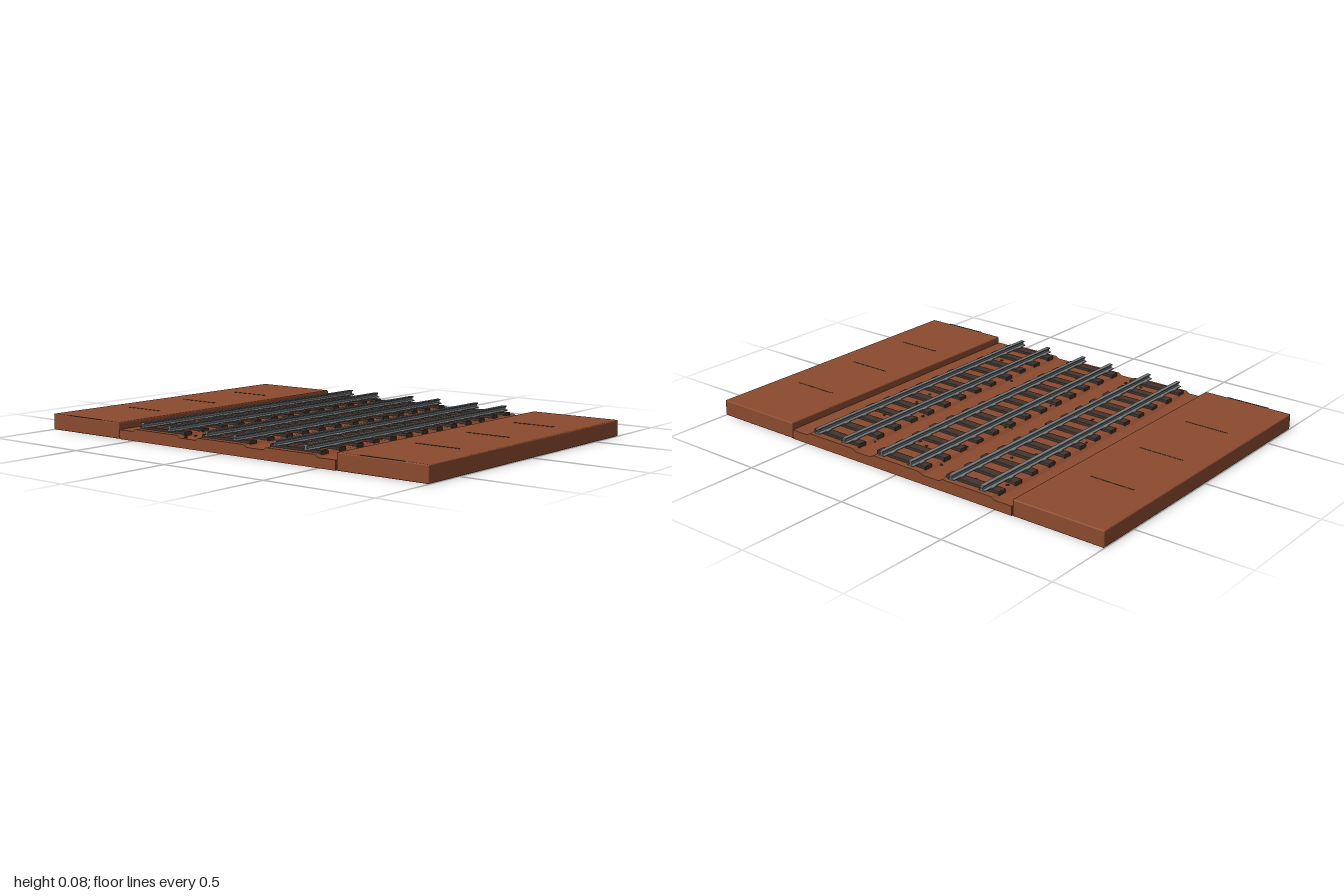
import * as THREE from 'three';
import { RoundedBoxGeometry } from 'three/addons/geometries/RoundedBoxGeometry.js';

const mat = (name, color) => {
  const m = new THREE.MeshStandardMaterial({ color });
  m.name = name;
  return m;
};

export function createModel() {
  const earth = mat('red brown ground', 0x8a4a2e);
  const timber = mat('dark timber', 0x43342e);
  const steel = mat('rail steel', 0x73787a);
  const stone = mat('dark gravel', 0x54301f);
  stone.flatShading = true;
  const seam = mat('seam', 0x4a3a35);

  const model = new THREE.Group();
  model.name = 'railwayTracks';
  const add = (parent, name, geometry, material, x = 0, y = 0, z = 0) => {
    const mesh = new THREE.Mesh(geometry, material);
    mesh.name = name;
    mesh.position.set(x, y, z);
    parent.add(mesh);
    return mesh;
  };

  let seed = 7;
  const rand = () => (seed = (seed * 16807) % 2147483647) / 2147483647;

  const length = 1.384;
  // Extrudes a cross-section in x and y along the whole length
  const along = (points) => {
    const shape = new THREE.Shape(points.map(([x, y]) => new THREE.Vector2(x, y)));
    return new THREE.ExtrudeGeometry(shape, { depth: length, bevelEnabled: false })
      .translate(0, 0, -length / 2);
  };

  // Ground between the platforms
  add(model, 'trackGround', new THREE.BoxGeometry(1.164, 0.04, length), earth, 0, 0.02, 0);

  // Raised platforms with cross seams
  const platformGeo = new RoundedBoxGeometry(0.415, 0.07, length, 2, 0.005);
  const seamGeo = new THREE.BoxGeometry(0.2, 0.002, 0.004);
  for (const side of [-1, 1]) {
    add(model, side > 0 ? 'leftPlatform' : 'rightPlatform', platformGeo, earth, side * 0.7925, 0.035, 0);
    for (const z of [-0.345, 0, 0.345, 0.69])
      add(model, 'platformSeam', seamGeo, seam, side * 0.795, 0.0702, z);
  }

  // Sloped bed, and a rail with foot, web and head
  const bedGeo = along([[-0.14, 0.039], [0.14, 0.039], [0.122, 0.05], [-0.122, 0.05]]);
  const half = [[0.016, 0], [0.016, 0.003], [0.004, 0.006], [0.004, 0.015], [0.009, 0.017], [0.009, 0.022]];
  const railGeo = along([...half, ...half.map(([x, y]) => [-x, y]).reverse()]);
  const sleeperGeo = new RoundedBoxGeometry(0.26, 0.018, 0.042, 1, 0.003);
  const chairGeo = new THREE.BoxGeometry(0.042, 0.004, 0.026);
  const stoneGeo = new THREE.IcosahedronGeometry(0.007, 0);

  for (const cx of [-0.362, 0, 0.36]) {
    const track = new THREE.Group();
    track.name = 'track';
    track.position.x = cx;
    model.add(track);
    add(track, 'ballastBed', bedGeo, earth);

    // Sleepers, slightly uneven, with a steel chair under each rail
    for (let i = 0; i < 13; i++) {
      const z = (i - 6) * 0.1067;
      const sleeper = add(track, 'sleeper', sleeperGeo, timber, (rand() - 0.5) * 0.008, 0.052, z);
      sleeper.rotation.y = (rand() - 0.5) * 0.03;
      for (const x of [-0.077, 0.077]) add(track, 'railChair', chairGeo, steel, x, 0.062, z);
    }
    for (const x of [-0.077, 0.077]) add(track, 'rail', railGeo, steel, x, 0.061, 0);

    // Loose stones on and beside the bed
    for (let i = 0; i < 34; i++) {
      const x = (rand() - 0.5) * 0.31;
      const y = Math.abs(x) < 0.125 ? 0.051 : 0.042;
      const pebble = add(track, 'stone', stoneGeo, stone, x, y, (rand() - 0.5) * 1.36);
      pebble.scale.set(0.6 + rand() * 0.6, 0.6, 0.6 + rand() * 0.6);
      pebble.rotation.y = rand() * 6;
    }
  }
  return model;
}
